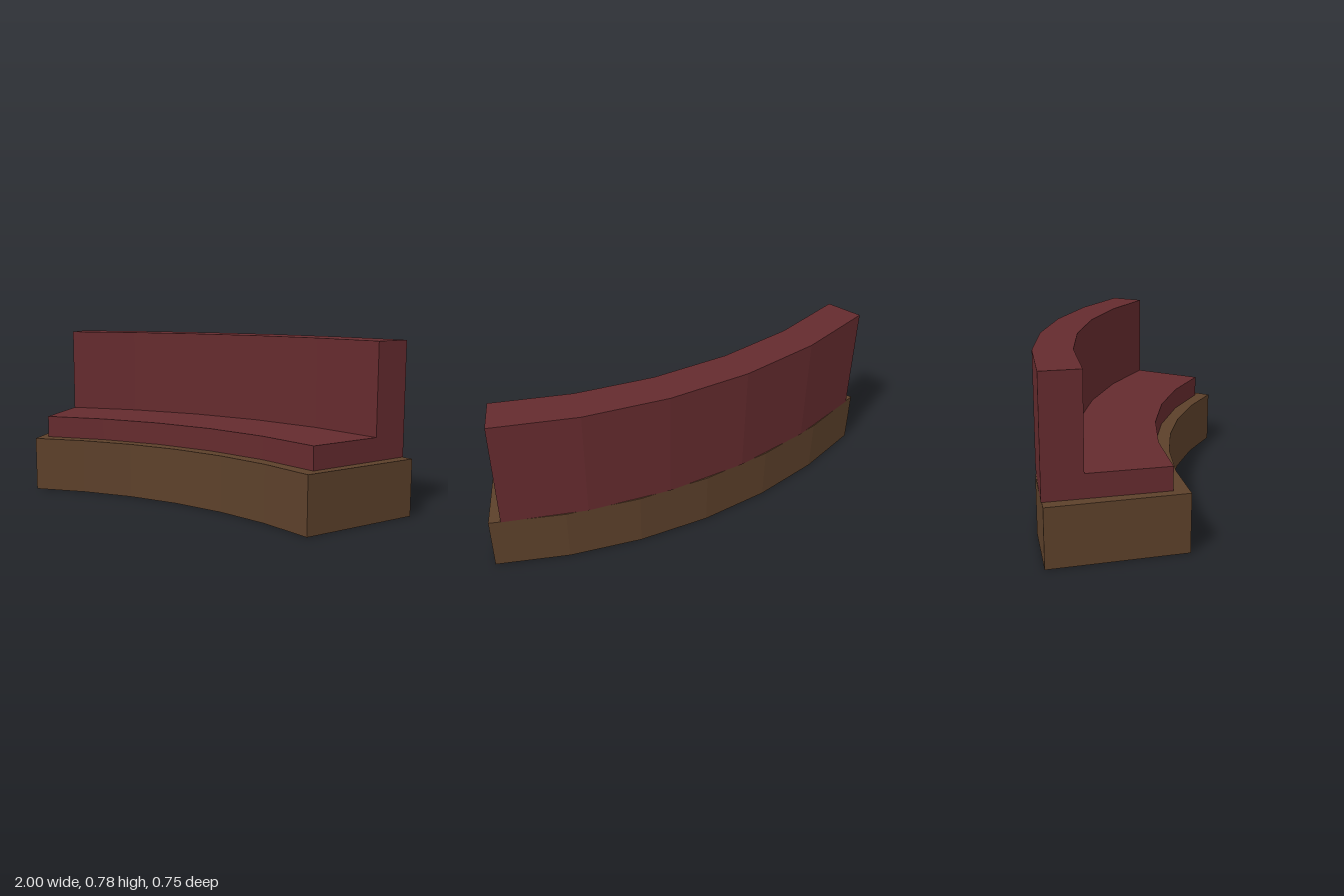
import * as THREE from 'three';

const CENTRE_Z = 2.233; // centre of the bench's arc, in front of it
const OUTER = 2.613; // radius of the rear faces

// Sweeps a counter-clockwise (radius, height) profile along a faceted arc and caps both ends.
function arcSweep(profile, halfAngle, segments) {
  const pts = profile.map(([r, y]) => new THREE.Vector2(r, y));
  const positions = [];
  const put = (p, a) => positions.push(p.x * Math.sin(a), p.y, CENTRE_Z - p.x * Math.cos(a));

  for (let s = 0; s < segments; s++) {
    const a0 = halfAngle * (2 * s / segments - 1);
    const a1 = halfAngle * (2 * (s + 1) / segments - 1);
    pts.forEach((p, i) => {
      const q = pts[(i + 1) % pts.length];
      put(p, a0); put(q, a0); put(q, a1);
      put(p, a0); put(q, a1); put(p, a1);
    });
  }
  for (const [i, j, k] of THREE.ShapeUtils.triangulateShape(pts, [])) {
    [i, j, k].forEach((n) => put(pts[n], halfAngle));
    [k, j, i].forEach((n) => put(pts[n], -halfAngle));
  }

  const geometry = new THREE.BufferGeometry();
  geometry.setAttribute('position', new THREE.Float32BufferAttribute(positions, 3));
  geometry.computeVertexNormals();
  return geometry;
}

export function createModel() {
  const wood = new THREE.MeshStandardMaterial({ color: 0x5c402a, flatShading: true });
  wood.name = 'brown wood';
  const upholstery = new THREE.MeshStandardMaterial({ color: 0x652b2e, flatShading: true });
  upholstery.name = 'dark red upholstery';

  const group = new THREE.Group();
  group.name = 'curvedBench';

  // Plinth
  const base = new THREE.Mesh(
    arcSweep([[2.012, 0], [OUTER, 0], [OUTER, 0.261], [2.012, 0.261]], Math.PI / 8, 6), wood);
  base.name = 'base';

  // L-shaped seat and backrest
  const seat = new THREE.Mesh(
    arcSweep([
      [2.077, 0.261], [OUTER, 0.261], [OUTER, 0.784],
      [2.44, 0.784], [2.44, 0.366], [2.077, 0.366],
    ], 0.372, 5), upholstery);
  seat.name = 'seatAndBackrest';

  group.add(base, seat);
  return group;
}
